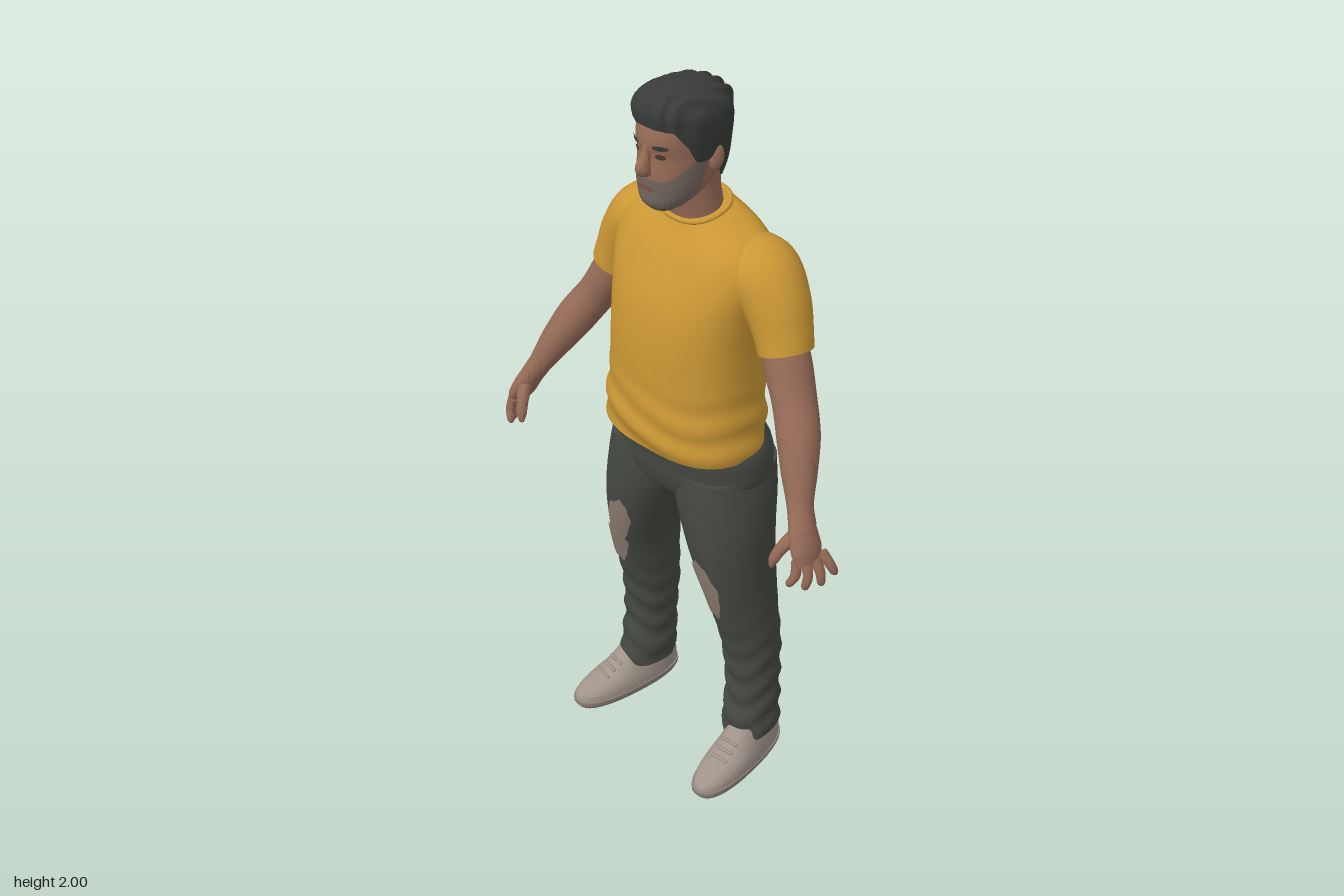
import * as THREE from 'three';
import { toCreasedNormals } from 'three/addons/utils/BufferGeometryUtils.js';

const mat = (name, color) => Object.assign(new THREE.MeshStandardMaterial({ color }), { name });
const V3 = (x, y, z) => new THREE.Vector3(x, y, z);
const step = THREE.MathUtils.smoothstep;
const TAU = Math.PI * 2;

// Grid surface from fn(u, v); closed wraps u, cap0/cap1 fill the first/last ring
function grid(nu, nv, fn, { closed = true, cap0 = false, cap1 = false } = {}) {
  const cols = closed ? nu : nu + 1, pos = [], idx = [];
  for (let j = 0; j <= nv; j++)
    for (let i = 0; i < cols; i++) pos.push(...fn(i / nu, j / nv, j).toArray());
  const id = (i, j) => j * cols + (i % cols);
  for (let j = 0; j < nv; j++)
    for (let i = 0; i < nu; i++)
      idx.push(id(i, j), id(i + 1, j), id(i, j + 1), id(i + 1, j), id(i + 1, j + 1), id(i, j + 1));
  const cap = (j, flip) => {
    const c = V3(0, 0, 0), n = pos.length / 3;
    for (let i = 0; i < cols; i++) c.add(V3().fromArray(pos, id(i, j) * 3));
    pos.push(...c.divideScalar(cols).toArray());
    for (let i = 0; i < nu; i++) idx.push(n, id(i + (flip ? 1 : 0), j), id(i + (flip ? 0 : 1), j));
  };
  if (cap0) cap(0, true);
  if (cap1) cap(nv, false);
  const g = new THREE.BufferGeometry();
  g.setAttribute('position', new THREE.Float32BufferAttribute(pos, 3));
  g.setIndex(idx);
  return toCreasedNormals(g, 1.0);
}

// Body surface through horizontal sections [y, x0, x1, z0, z1]; angle 0 faces +z
function body(secs, p = 2, wrinkle = () => 0) {
  const n = secs.length - 1;
  const slope = (i, c) => {
    const a = secs[Math.max(i - 1, 0)], b = secs[Math.min(i + 1, n)];
    return (b[c] - a[c]) / (b[0] - a[0]);
  };
  const f = (a, y, off = 0) => {
    let i = 0;
    while (i < n - 1 && y > secs[i + 1][0]) i++;
    const h = secs[i + 1][0] - secs[i][0], t = THREE.MathUtils.clamp((y - secs[i][0]) / h, 0, 1);
    const at = (c) => (1 - t) ** 2 * ((1 + 2 * t) * secs[i][c] + t * h * slope(i, c))
      + t * t * ((3 - 2 * t) * secs[i + 1][c] - (1 - t) * h * slope(i + 1, c));
    const [x0, x1, z0, z1] = [1, 2, 3, 4].map(at), o = off + wrinkle(a, y);
    const pw = (s) => Math.sign(s) * Math.abs(s) ** (2 / p);
    return V3((x0 + x1) / 2 + ((x1 - x0) / 2 + o) * pw(Math.sin(a)), y,
      (z0 + z1) / 2 + ((z1 - z0) / 2 + o) * pw(Math.cos(a)));
  };
  f.y0 = secs[0][0];
  f.y1 = secs[n][0];
  return f;
}
const loft = (f, nu = 40, nv = 40) =>
  grid(nu, nv, (u, v) => f(u * TAU, f.y0 + (f.y1 - f.y0) * v), { cap0: true, cap1: true });

// Thin oval lying on a body surface
const patch = (f, a, y, da, dy, off = 0.004, ragged = 0) => grid(32, 5, (u, v) => {
  const t = u * TAU, r = (1 - v) * (1 + ragged * Math.sin(5 * t + 1) + ragged * Math.sin(9 * t));
  return f(a + da * r * Math.cos(t), y + dy * r * Math.sin(t), off);
});

// Limb through points [x, y, z, radius across, radius in depth]
function limb(pts, nu = 20, nv = 24) {
  const path = new THREE.CatmullRomCurve3(pts.map((p) => V3(p[0], p[1], p[2])));
  const rad = new THREE.CatmullRomCurve3(pts.map((p) => V3(p[3], p[4] ?? p[3], 0)));
  return grid(nu, nv, (u, v) => {
    const T = path.getTangent(v), r = rad.getPoint(v);
    const D = V3(0, 0, 1).addScaledVector(T, -T.z).normalize(), U = D.clone().cross(T);
    return path.getPoint(v).addScaledVector(U, r.x * Math.cos(u * TAU)).addScaledVector(D, r.y * Math.sin(u * TAU));
  }, { cap0: true, cap1: true });
}

export function createModel() {
  const root = new THREE.Group();
  const skin = mat('skin', 0x966b57), shirt = mat('mustard shirt', 0xcc9835), denim = mat('dark trousers', 0x454842);
  const hairMat = mat('dark hair', 0x393c38), shoeMat = mat('beige shoe', 0xa0948a), soleMat = mat('shoe sole', 0x8d8278);
  const worn = mat('worn patch', 0x8c7d70), stubble = mat('stubble', 0x75675f), dark = mat('eye', 0x4a3a33), lipMat = mat('lip', 0x7f5448);
  const add = (name, geo, m, parent = root) => {
    const mesh = new THREE.Mesh(geo, m);
    mesh.name = name;
    parent.add(mesh);
    return mesh;
  };

  // Shirt, with the neckline dropping at the front
  const torso = body([
    [1.045, -0.23, 0.222, -0.168, 0.138], [1.1, -0.225, 0.218, -0.18, 0.148], [1.2, -0.212, 0.206, -0.183, 0.143],
    [1.35, -0.207, 0.204, -0.185, 0.137], [1.45, -0.213, 0.213, -0.188, 0.122], [1.53, -0.227, 0.227, -0.187, 0.094],
    [1.59, -0.22, 0.22, -0.176, 0.066], [1.635, -0.185, 0.185, -0.158, 0.046], [1.665, -0.135, 0.135, -0.138, 0.034],
    [1.69, -0.08, 0.08, -0.115, 0.025]], 2.3,
  (a, y) => 0.004 * Math.sin(2 * a + y * 70 + Math.sin(3 * a)) * (1 - step(y, 1.1, 1.3)));
  const drape = (a, y, off) => {
    const p = torso(a, y, off);
    p.y -= (0.012 + 0.018 * Math.cos(a)) * step(y, 1.58, 1.69);
    return p;
  };
  add('shirtBody', loft(Object.assign(drape, { y0: torso.y0, y1: torso.y1 }), 56, 60), shirt);
  const collar = Array.from({ length: 24 }, (_, i) => drape(i / 24 * TAU, 1.688));
  add('collar', new THREE.TubeGeometry(new THREE.CatmullRomCurve3(collar, true), 48, 0.007, 8, true), shirt);

  // Neck and head
  add('neck', loft(body([[1.6, -0.075, 0.075, -0.115, 0.012], [1.67, -0.072, 0.072, -0.108, 0.022],
    [1.73, -0.067, 0.067, -0.1, 0.035], [1.78, -0.067, 0.067, -0.1, 0.04]])), skin);
  const head = body([
    [1.705, -0.028, 0.028, 0.035, 0.09], [1.725, -0.055, 0.055, -0.02, 0.108], [1.76, -0.075, 0.075, -0.07, 0.112],
    [1.8, -0.083, 0.083, -0.095, 0.114], [1.85, -0.087, 0.087, -0.112, 0.11], [1.88, -0.088, 0.088, -0.118, 0.115],
    [1.92, -0.088, 0.088, -0.12, 0.108], [1.96, -0.072, 0.072, -0.1, 0.085], [1.985, -0.035, 0.035, -0.05, 0.045]], 2.2);
  add('head', loft(head), skin);
  add('nose', limb([[0, 1.885, 0.105, 0.008, 0.009], [0, 1.85, 0.115, 0.011, 0.014],
    [0, 1.822, 0.123, 0.017, 0.021], [0, 1.806, 0.114, 0.015, 0.01]], 14, 12), skin);
  add('beard', grid(40, 12, (u, v) => {
    const a = (u - 0.5) * 3.1;
    return head(a, THREE.MathUtils.lerp(1.708, 1.795 + 0.045 * step(Math.abs(a), 0.5, 1.4), v), 0.003);
  }, { closed: false }), stubble);
  add('mouth', patch(head, 0, 1.772, 0.27, 0.007, 0.006), lipMat);
  for (const s of [-1, 1]) {
    add('eye', patch(head, s * 0.4, 1.856, 0.14, 0.007, 0.003), dark);
    add('eyebrow', patch(head, s * 0.42, 1.879, 0.22, 0.006, 0.004), hairMat);
    const ear = add('ear', new THREE.SphereGeometry(1, 16, 12), skin);
    ear.scale.set(0.01, 0.032, 0.019);
    ear.position.set(s * 0.09, 1.83, -0.022);
    ear.rotation.set(-0.15, s * -0.3, 0);
  }

  // Hair with a stepped hairline and combed locks
  const hair = body([
    [1.74, -0.062, 0.062, -0.104, 0.06], [1.8, -0.087, 0.087, -0.116, 0.09], [1.86, -0.094, 0.094, -0.126, 0.112],
    [1.92, -0.097, 0.097, -0.13, 0.117], [1.955, -0.091, 0.091, -0.121, 0.121], [1.98, -0.07, 0.07, -0.092, 0.108],
    [1.993, -0.042, 0.042, -0.05, 0.08], [2, -0.012, 0.012, 0, 0.035]], 2.2);
  const line = [[0, 1.925], [0.7, 1.92], [1.05, 1.875], [1.2, 1.835], [1.5, 1.835], [1.65, 1.85], [1.95, 1.8], [2.2, 1.755], [3.2, 1.745]];
  const hairline = (a) => {
    const i = Math.max(1, line.findIndex((p) => p[0] >= a)), [p, q] = [line[i - 1], line[i]];
    return THREE.MathUtils.mapLinear(a, p[0], q[0], p[1], q[1]);
  };
  add('hair', grid(96, 30, (u, v, j) => {
    const a = u * TAU, k = Math.max(0, (j - 1) / 29);
    const y = THREE.MathUtils.lerp(hairline(Math.min(a, TAU - a)), 2, 1 - (1 - k) ** 1.4);
    const p = hair(a, y, j === 0 ? -0.02 : 0);
    const lock = 0.004 * Math.sin(p.x * 190 + 2.5 * Math.sin(p.z * 28)) * step(y, 1.88, 1.95);
    return j === 0 ? p : p.add(V3(p.x, 0, p.z).multiplyScalar(lock * 9)).add(V3(0, lock * (y < 1.995 ? 0.8 : 0), 0));
  }, { cap1: true }), hairMat);

  // Arms: the right one reaches a little further forward
  for (const s of [1, -1]) {
    const side = s > 0 ? 'left' : 'right', arm = new THREE.Group();
    arm.name = side + 'Arm';
    root.add(arm);
    const place = (pts) => pts.map(([x, y, z, ...r]) => [s * x, y, z + (s < 0 ? 0.045 * (1 - step(y, 1.0, 1.35)) : 0), ...r]);
    const part = (name, pts, m = skin, nu, nv) => add(name, limb(place(pts), nu, nv), m, arm);
    part('sleeve', [[0.13, 1.57, -0.072, 0.07, 0.08], [0.195, 1.55, -0.074, 0.086, 0.095], [0.245, 1.49, -0.071, 0.08, 0.085],
      [0.274, 1.43, -0.065, 0.071, 0.075], [0.292, 1.383, -0.058, 0.066, 0.069]], shirt, 28, 24);
    part('arm', [[0.255, 1.45, -0.066, 0.055, 0.058], [0.3, 1.36, -0.054, 0.056, 0.062], [0.343, 1.28, -0.037, 0.051, 0.058],
      [0.383, 1.21, -0.012, 0.052, 0.055], [0.42, 1.13, 0.02, 0.043, 0.045], [0.45, 1.06, 0.045, 0.031, 0.034],
      [0.47, 1.02, 0.057, 0.028, 0.038]], skin, 24, 36);
    part('palm', [[0.46, 1.04, 0.052, 0.026, 0.03], [0.477, 1.005, 0.062, 0.027, 0.042], [0.495, 0.97, 0.068, 0.025, 0.046],
      [0.51, 0.938, 0.072, 0.017, 0.04]]);
    const fingers = [[0.498, 0.95, 0.104, 0.492, 0.882, 0.12], [0.508, 0.945, 0.08, 0.516, 0.868, 0.09],
      [0.516, 0.945, 0.057, 0.536, 0.873, 0.055], [0.518, 0.955, 0.037, 0.548, 0.895, 0.022]];
    for (const [x, y, z, X, Y, Z] of fingers)
      part('finger', [[x, y, z, 0.014], [(x + X) / 2 + 0.008, (y + Y) / 2, (z + Z) / 2, 0.0125],
        [X, Y + 0.007, Z, 0.01], [X - 0.002, Y, Z, 0.004]], skin, 12, 10);
    part('thumb', [[0.474, 1.01, 0.075, 0.02], [0.452, 0.97, 0.108, 0.016], [0.441, 0.935, 0.123, 0.013],
      [0.438, 0.915, 0.127, 0.006]], skin, 12, 12);
  }

  // Trousers
  add('trouserSeat', loft(body([[0.865, -0.07, 0.07, -0.12, 0.055], [0.9, -0.17, 0.17, -0.155, 0.085],
    [0.95, -0.23, 0.23, -0.177, 0.1], [1.0, -0.237, 0.236, -0.188, 0.105], [1.04, -0.234, 0.23, -0.186, 0.112],
    [1.08, -0.215, 0.21, -0.17, 0.12]], 2.3)), denim);
  for (const s of [1, -1]) {
    const side = s > 0 ? 'left' : 'right';
    const leg = body([
      [0.095, 0.145, 0.278, -0.148, 0.018], [0.14, 0.137, 0.278, -0.15, 0.018], [0.25, 0.137, 0.272, -0.15, 0.004],
      [0.4, 0.126, 0.268, -0.155, 0.015], [0.5, 0.118, 0.262, -0.15, 0.04], [0.6, 0.106, 0.257, -0.148, 0.067],
      [0.7, 0.074, 0.255, -0.15, 0.089], [0.8, 0.038, 0.253, -0.157, 0.1], [0.9, 0.003, 0.245, -0.174, 0.1],
      [0.98, 0.01, 0.23, -0.18, 0.095]].map(([y, a, b, z0, z1]) => s > 0 ? [y, a, b, z0, z1] : [y, -b, -a, z0, z1]), 2.15,
    (a, y) => 0.004 * Math.sin(y * 75 + 2 * Math.sin(a * 2 + s)) * (1 - step(y, 0.25, 0.6)));
    add(side + 'TrouserLeg', loft(leg, 40, 70), denim);
    if (s > 0) {
      add('kneePatch', patch(leg, -0.08, 0.64, 0.45, 0.095, 0.004, 0.05), worn);
      add('calfPatch', patch(leg, 2.85, 0.43, 0.32, 0.045, 0.004, 0.05), worn);
    } else {
      add('kneePatch', patch(leg, 0.1, 0.69, 0.38, 0.085, 0.004, 0.05), worn);
      add('lowerKneePatch', patch(leg, -0.1, 0.59, 0.5, 0.075, 0.005, 0.06), worn);
    }

    // Shoe, toes turned out
    const shoe = new THREE.Group();
    shoe.name = side + 'Shoe';
    shoe.position.set(s * 0.225, 0, 0);
    shoe.rotation.y = s * 0.13;
    root.add(shoe);
    add('sole', loft(body([[0, -0.058, 0.058, -0.165, 0.178], [0.012, -0.064, 0.064, -0.17, 0.186],
      [0.024, -0.064, 0.064, -0.17, 0.186]], 2.4), 40, 4), soleMat, shoe);
    add('upper', loft(body([[0.02, -0.062, 0.062, -0.167, 0.183], [0.04, -0.061, 0.061, -0.167, 0.178],
      [0.06, -0.058, 0.058, -0.165, 0.142], [0.08, -0.054, 0.054, -0.16, 0.085], [0.105, -0.05, 0.05, -0.152, 0.045],
      [0.135, -0.045, 0.045, -0.145, 0.015]], 2.25), 40, 20), shoeMat, shoe);
    for (let i = 0; i < 3; i++) {
      const lace = add('lace', new THREE.CapsuleGeometry(0.005, 0.045, 4, 8), shoeMat, shoe);
      lace.rotation.z = Math.PI / 2;
      lace.position.set(0, 0.078 + i * 0.014, 0.09 - i * 0.023);
    }
  }
  return root;
}
